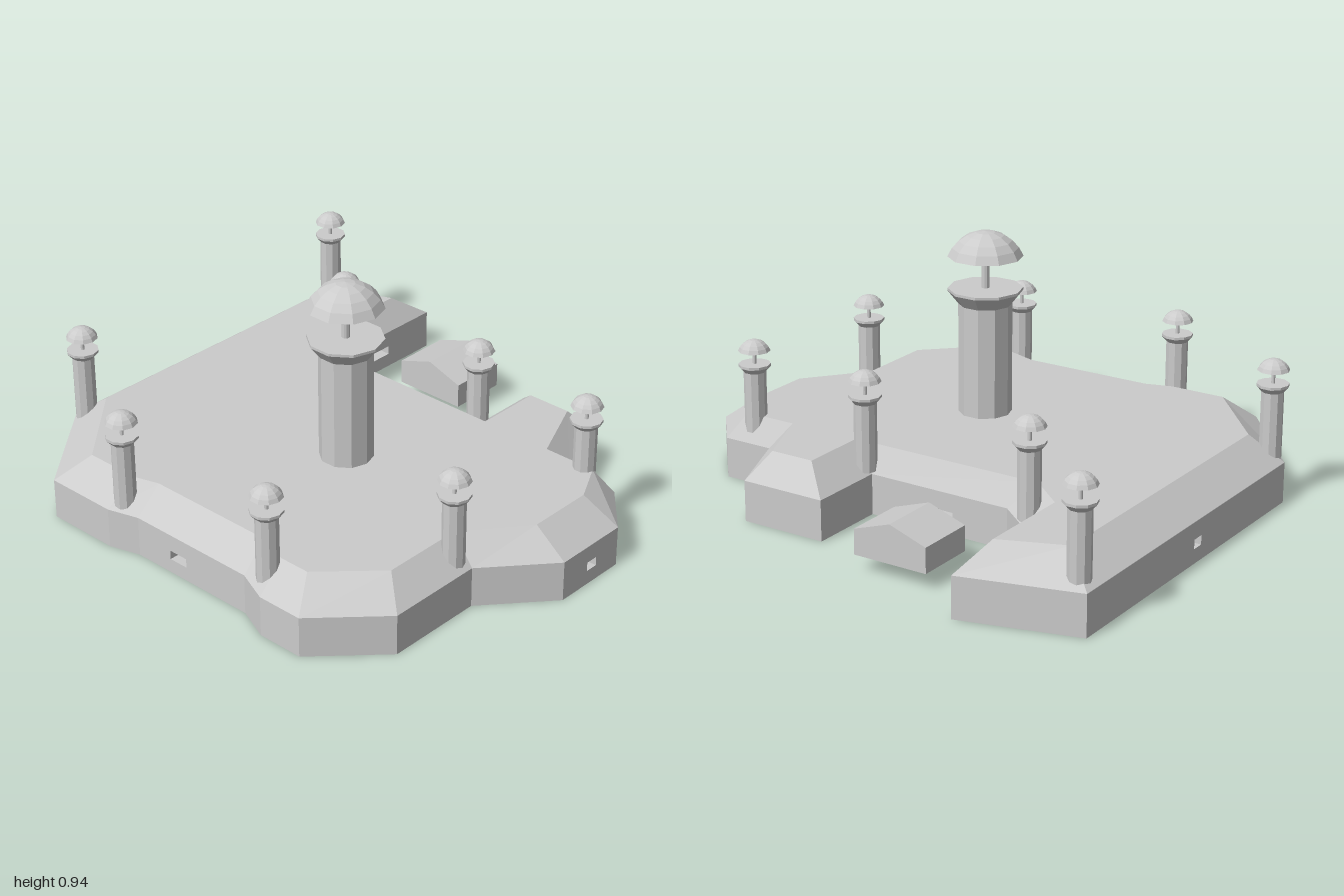
import * as THREE from 'three';

const mat = new THREE.MeshStandardMaterial({ color: 0xcccccc, flatShading: true, side: THREE.DoubleSide });
const recessMat = new THREE.MeshStandardMaterial({ color: 0xcccccc, flatShading: true, side: THREE.BackSide });
const WALL = 0.155, ROOF = 0.25;

// Ground outline and matching roof outline: [outerX, outerZ, innerX, innerZ]
const PLAN = [
  [-0.56, -1, -0.52, -0.87], [-0.94, -0.69, -0.83, -0.6], [-0.94, -0.4, -0.83, -0.38],
  [-0.905, -0.28, -0.8, -0.28], [-0.905, 0.25, -0.8, 0.24], [-0.96, 0.38, -0.845, 0.37],
  [-0.96, 0.56, -0.845, 0.49], [-0.73, 0.79, -0.65, 0.69], [-0.35, 0.79, -0.33, 0.69],
  [-0.11, 1, -0.105, 0.87], [0.19, 1, 0.155, 0.87], [0.365, 0.85, 0.31, 0.79],
  [0.365, 0.65, 0.31, 0.58], [0.67, 0.52, 0.575, 0.465], [0.67, 0.18, 0.575, 0.29],
  [0.365, 0.18, 0.31, 0.29], [0.37, -0.4, 0.31, -0.49], [0.5, -0.56, 0.43, -0.63],
  [0.95, -0.56, 0.81, -0.63], [0.83, -1, 0.715, -0.87],
];

// Wall index -> [window centre as fraction of the wall, window width]
const WINDOWS = { 3: [0.38, 0.08], 9: [0.52, 0.05], 15: [0.52, 0.1], 17: [0.35, 0.12], 19: [0.53, 0.05] };

function add(parent, name, geometry, material = mat) {
  const mesh = new THREE.Mesh(geometry, material);
  mesh.name = name;
  parent.add(mesh);
  return mesh;
}

// Upright wall panel with an optional recessed window
function addWall(parent, a, b, window) {
  const dx = b[0] - a[0], dz = b[1] - a[1], len = Math.hypot(dx, dz);
  const panel = new THREE.Group();
  panel.name = 'outerWall';
  panel.position.set(a[0], 0, a[1]);
  panel.rotation.y = Math.atan2(-dz, dx);
  const shape = new THREE.Shape([[0, 0], [len, 0], [len, WALL], [0, WALL]].map(p => new THREE.Vector2(...p)));
  if (window) {
    const c = window[0] * len, w = window[1] / 2, lo = 0.055, hi = 0.09;
    shape.holes.push(new THREE.Path([[c - w, lo], [c - w, hi], [c + w, hi], [c + w, lo]].map(p => new THREE.Vector2(...p))));
    add(panel, 'windowRecess', new THREE.BoxGeometry(2 * w, hi - lo, 0.06), recessMat)
      .position.set(c, (lo + hi) / 2, -0.03);
  }
  add(panel, 'wallPanel', new THREE.ShapeGeometry(shape));
  parent.add(panel);
}

// Sloping band between the wall tops and the flat roof
function slopeGeometry() {
  const v = [];
  PLAN.forEach((p, i) => {
    const q = PLAN[(i + 1) % PLAN.length];
    const a = [p[0], WALL, p[1]], b = [q[0], WALL, q[1]];
    const c = [q[2], ROOF, q[3]], d = [p[2], ROOF, p[3]];
    v.push(...a, ...b, ...c, ...a, ...c, ...d);
  });
  const g = new THREE.BufferGeometry();
  g.setAttribute('position', new THREE.Float32BufferAttribute(v, 3));
  g.computeVertexNormals();
  return g;
}

// Faceted column with a flared platform, a thin mast and a domed canopy
function tower(name, t) {
  const g = new THREE.Group();
  g.name = name;
  const lathe = (part, pts) =>
    add(g, part, new THREE.LatheGeometry(pts.map(p => new THREE.Vector2(...p)), 10));
  lathe('column', [[0, t.base], [t.body, t.base], [t.body, t.flare], [t.wide, t.rim], [t.wide, t.deck], [0, t.deck]]);
  lathe('mast', [[t.mast, t.deck], [t.mast, t.canopy + 0.01]]);
  const h = t.top - t.canopy, R = (t.wide ** 2 + h ** 2) / (2 * h);
  const end = Math.acos((R - h) / R);
  const dome = [[0, t.canopy]];
  for (let i = 0; i <= 5; i++) {
    const a = end * (1 - i / 5);
    dome.push([R * Math.sin(a), t.top - R + R * Math.cos(a)]);
  }
  lathe('canopy', dome);
  return g;
}

export function createModel() {
  const model = new THREE.Group();
  model.name = 'fortress';

  // Open-bottomed shell
  const shell = new THREE.Group();
  shell.name = 'shell';
  model.add(shell);
  PLAN.forEach((p, i) => addWall(shell, p, PLAN[(i + 1) % PLAN.length], WINDOWS[i]));
  add(shell, 'slopedRoof', slopeGeometry());
  const top = new THREE.Shape(PLAN.map(p => new THREE.Vector2(p[2], -p[3])));
  add(shell, 'flatRoof', new THREE.ShapeGeometry(top).rotateX(-Math.PI / 2).translate(0, ROOF, 0));

  // Rooms and corridors inside the shell: [x0, x1, z0, z1]
  const rooms = new THREE.Group();
  rooms.name = 'rooms';
  model.add(rooms);
  [
    [-0.17, 0.4, -0.93, -0.8], [0.4, 0.72, -0.86, -0.66], [0.05, 0.2, -0.8, -0.35],
    [-0.45, -0.04, -0.56, -0.35], [-0.7, -0.54, -0.72, 0.45], [-0.84, -0.7, -0.2, 0.04],
    [-0.54, -0.45, -0.5, -0.42], [-0.04, 0.05, -0.5, -0.42], [-0.38, 0.08, -0.16, 0.24],
    [0.08, 0.29, -0.22, 0.02], [-0.54, -0.38, 0.0, 0.1], [-0.27, 0.24, 0.42, 0.58],
    [-0.05, 0.05, 0.24, 0.42], [0.24, 0.6, 0.33, 0.47], [-0.54, -0.27, 0.46, 0.58],
    [-0.03, 0.12, 0.58, 0.93], [0.09, 0.17, -0.35, -0.22],
  ].forEach(([x0, x1, z0, z1]) =>
    add(rooms, 'room', new THREE.BoxGeometry(x1 - x0, 0.06, z1 - z0))
      .position.set((x0 + x1) / 2, 0.09, (z0 + z1) / 2));

  // Great tower
  const keep = tower('mainTower', {
    base: 0.24, body: 0.1, flare: 0.67, wide: 0.14, rim: 0.72, deck: 0.73, mast: 0.015, canopy: 0.85, top: 0.945,
  });
  keep.position.set(-0.205, 0, 0.07);
  model.add(keep);

  // Watchtowers around the rim
  [
    [-0.88, -0.37], [-0.88, 0.34], [-0.56, -0.94], [0.78, -0.94],
    [0.425, -0.525], [0.36, 0.21], [-0.385, 0.735], [0.305, 0.755],
  ].forEach(([x, z]) => {
    const t = tower('watchtower', {
      base: 0.165, body: 0.042, flare: 0.42, wide: 0.06, rim: 0.44, deck: 0.45, mast: 0.007, canopy: 0.5, top: 0.543,
    });
    t.position.set(x, 0, z);
    model.add(t);
  });

  // Detached gabled house, ridge along x
  const gable = new THREE.Shape(
    [[-0.148, 0.06], [0.148, 0.06], [0.148, 0.155], [0, 0.205], [-0.148, 0.155]].map(p => new THREE.Vector2(...p)));
  const house = add(model, 'house', new THREE.ExtrudeGeometry(gable, { depth: 0.235, bevelEnabled: false }));
  house.rotation.y = Math.PI / 2;
  house.position.set(0.575, 0, -0.215);

  return model;
}
